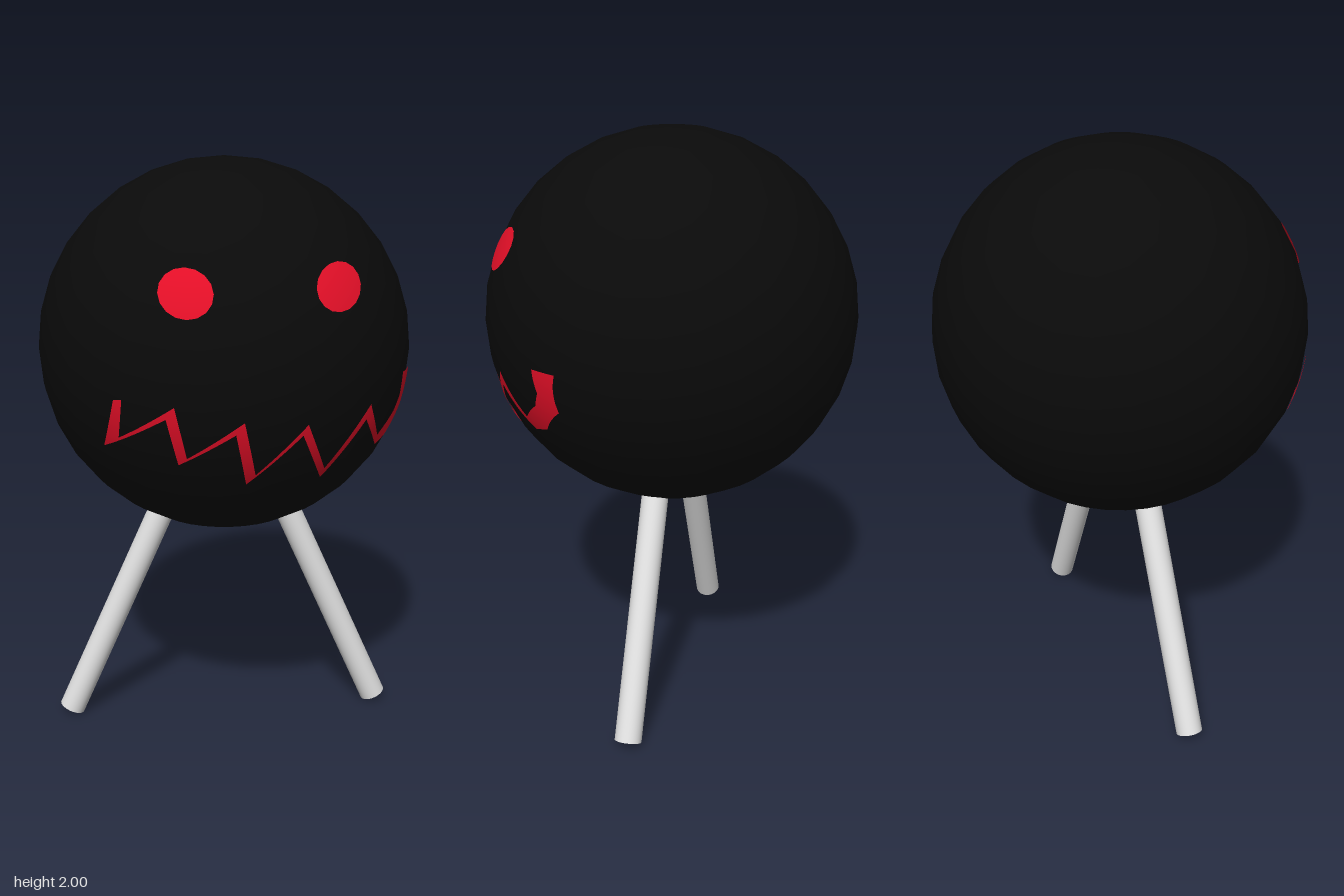
import * as THREE from 'three';

const R = 0.632, CY = 1.368;

const mat = (name, color, side = THREE.FrontSide) => {
  const m = new THREE.MeshStandardMaterial({ color, side });
  m.name = name;
  return m;
};

// Thin patch lying on the front of the ball; at(u, v) gives its front-on x, y
function paintPatch(name, at, nu, nv, material) {
  const r = R + 0.002, pos = [], normal = [], index = [];
  for (let i = 0; i <= nu; i++) {
    for (let j = 0; j <= nv; j++) {
      const [x, y] = at(i / nu, j / nv);
      const dy = y - CY;
      const p = new THREE.Vector3(x, dy, Math.sqrt(Math.max(0, r * r - x * x - dy * dy)));
      pos.push(p.x, p.y + CY, p.z);
      p.normalize();
      normal.push(p.x, p.y, p.z);
      if (i < nu && j < nv) {
        const a = i * (nv + 1) + j, b = a + nv + 1;
        index.push(a, b, b + 1, a, b + 1, a + 1);
      }
    }
  }
  const g = new THREE.BufferGeometry();
  g.setAttribute('position', new THREE.Float32BufferAttribute(pos, 3));
  g.setAttribute('normal', new THREE.Float32BufferAttribute(normal, 3));
  g.setIndex(index);
  const mesh = new THREE.Mesh(g, material);
  mesh.name = name;
  return mesh;
}

// Zigzag mouth: lower edge x, y and upper edge x, y at each bend
const MOUTH = [
  [-0.39, 1.295, -0.365, 1.30],
  [-0.42, 1.13, -0.375, 1.17],
  [-0.235, 1.25, -0.21, 1.29],
  [-0.195, 1.095, -0.17, 1.12],
  [-0.025, 1.205, 0.0, 1.245],
  [0.015, 1.025, 0.042, 1.06],
  [0.185, 1.19, 0.2, 1.225],
  [0.26, 1.02, 0.27, 1.055],
  [0.405, 1.205, 0.418, 1.255],
  [0.465, 1.085, 0.465, 1.125],
  [0.51, 1.105, 0.53, 1.19],
  [0.573, 1.19, 0.553, 1.24],
  [0.597, 1.32, 0.558, 1.32],
];

export function createModel() {
  const black = mat('black', 0x0a0a0a);
  const red = mat('red', 0xec1029, THREE.DoubleSide);
  const grey = mat('light grey', 0xe0e0e0);
  const model = new THREE.Group();
  model.name = 'ballCreature';

  // Round body
  const body = new THREE.Mesh(new THREE.SphereGeometry(R, 32, 16), black);
  body.name = 'body';
  body.position.y = CY;
  model.add(body);

  // Eyes
  const eye = (name, cx, cy, rx, ry) => model.add(paintPatch(name, (u, v) => {
    const a = u * Math.PI * 2;
    return [cx + Math.cos(a) * rx * (1 - v), cy + Math.sin(a) * ry * (1 - v)];
  }, 16, 4, red));
  eye('rightEye', -0.17, 1.625, 0.082, 0.073);
  eye('leftEye', 0.302, 1.63, 0.077, 0.072);

  // Mouth
  const bends = MOUTH.length - 1;
  model.add(paintPatch('mouth', (u, v) => {
    const k = Math.min(Math.floor(u * bends + 1e-6), bends - 1), t = u * bends - k;
    const [ax, ay, bx, by] = MOUTH[k].map((c, i) => THREE.MathUtils.lerp(c, MOUTH[k + 1][i], t));
    return [THREE.MathUtils.lerp(ax, bx, v), THREE.MathUtils.lerp(ay, by, v)];
  }, bends * 8, 4, red));

  // Splayed legs running up into the body
  const length = 1.07, tilt = 0.422;
  for (const s of [-1, 1]) {
    const leg = new THREE.Mesh(new THREE.CylinderGeometry(0.046, 0.046, length, 32), grey);
    leg.name = s > 0 ? 'leftLeg' : 'rightLeg';
    leg.rotation.z = s * tilt;
    leg.position.set(
      s * (0.562 - Math.sin(tilt) * length / 2),
      0.019 + Math.cos(tilt) * length / 2,
      0
    );
    model.add(leg);
  }
  return model;
}
